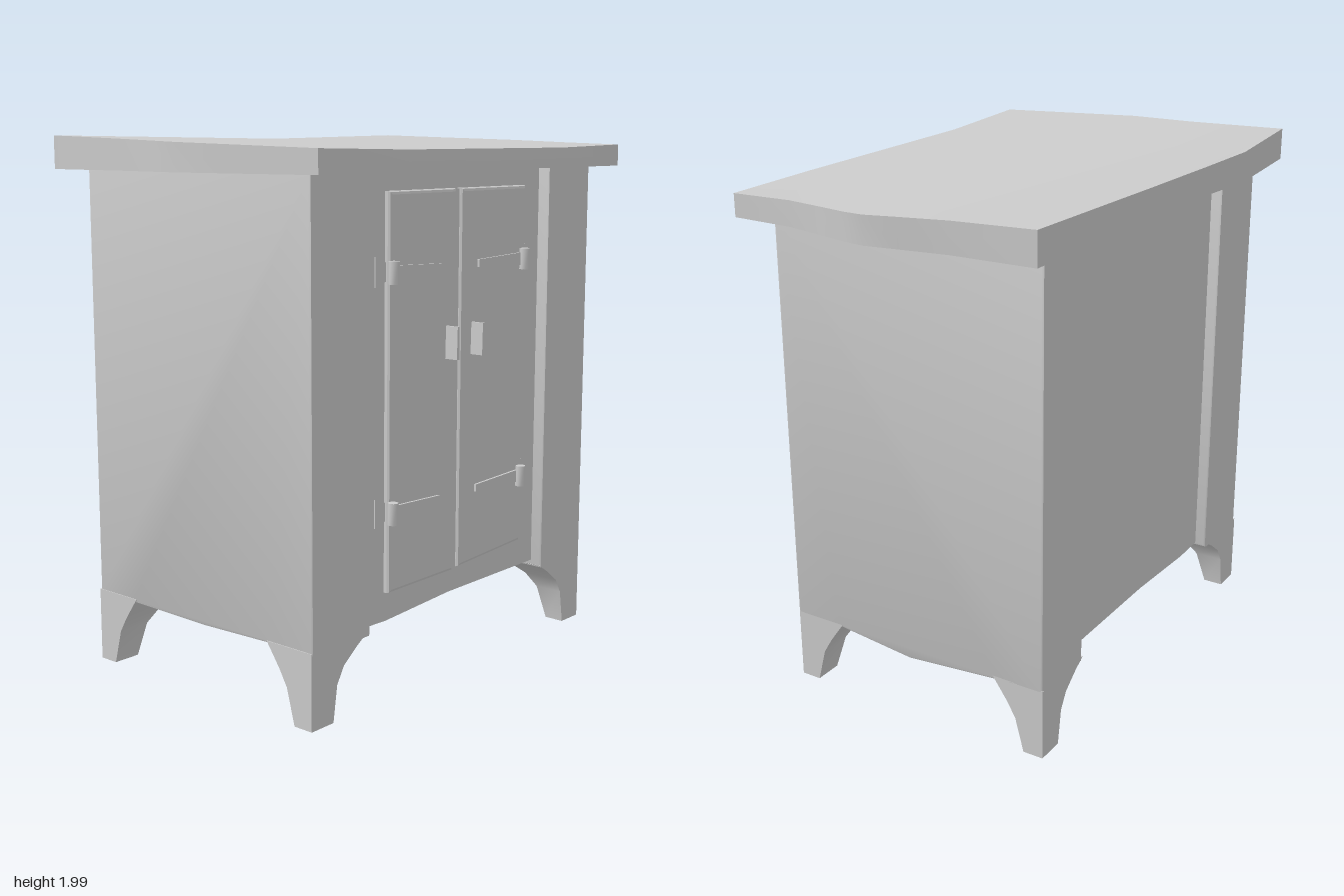
import * as THREE from 'three';
import { toCreasedNormals } from 'three/addons/utils/BufferGeometryUtils.js';

const shapeOf = (pts) => new THREE.Shape(pts.map(([x, y]) => new THREE.Vector2(x, y)));

// Flat piece drawn in (z, y), growing towards +x from x0
function sidePlate(pts, x0, depth, bevel = 0) {
  const geo = new THREE.ExtrudeGeometry(shapeOf(pts.map(([z, y]) => [-z, y])), {
    depth: depth - bevel, bevelEnabled: bevel > 0, bevelThickness: bevel,
    bevelSize: bevel, bevelOffset: -bevel, bevelSegments: 2,
  });
  return geo.rotateY(Math.PI / 2).translate(x0, 0, 0);
}

// Tapered corner leg: [height, width in x, width in z], outer corner fixed
const LEG = [[0.008, 0.08, 0.11], [0.14, 0.115, 0.13], [0.2, 0.15, 0.165], [0.25, 0.185, 0.23], [0.285, 0.21, 0.285]];
function legGeometry(xOut, zOut) {
  const geo = new THREE.BoxGeometry(1, 1, 1, 1, LEG.length - 1, 1);
  const p = geo.attributes.position;
  const sx = Math.sign(xOut), sz = Math.sign(zOut);
  for (let i = 0; i < p.count; i++) {
    const [y, wx, wz] = LEG[Math.round((p.getY(i) + 0.5) * (LEG.length - 1))];
    const x = p.getX(i) * sx > 0 ? xOut : xOut - sx * wx;
    const z = p.getZ(i) * sz > 0 ? zOut : zOut - sz * wz;
    p.setXYZ(i, x, y, z);
  }
  return toCreasedNormals(geo, 0.6);
}

export function createModel() {
  const model = new THREE.Group();
  const grey = new THREE.MeshStandardMaterial({ color: 0xcccccc });
  grey.name = 'plain grey';
  const add = (name, geo, parent = model) => {
    const mesh = new THREE.Mesh(geo, grey);
    mesh.name = name;
    parent.add(mesh);
    return mesh;
  };

  // Wavy overhanging top board, outline in (x, z)
  const outline = [
    [-0.62, 0.95], [-0.22, 0.96], [-0.05, 0.98], [0.07, 0.995], [0.3, 0.97], [0.66, 0.93],
    [0.63, 0.45], [0.635, 0], [0.635, -0.48], [0.6, -0.93], [0.35, -0.935], [0.2, -0.965],
    [0.08, -0.99], [0, -0.997], [-0.12, -0.975], [-0.3, -0.945], [-0.61, -0.93],
    [-0.62, -0.2], [-0.64, 0.2], [-0.665, 0.48],
  ];
  const board = new THREE.ExtrudeGeometry(shapeOf(outline.map(([x, z]) => [x, -z])), { depth: 1, bevelEnabled: false });
  board.rotateX(-Math.PI / 2);
  const bp = board.attributes.position;
  for (let i = 0; i < bp.count; i++) {
    const x = bp.getX(i), z = bp.getZ(i);
    const top = 1.972 - 0.03 * x - 0.008 * Math.cos(3.3 * z);
    bp.setY(i, bp.getY(i) > 0.5 ? top : 1.878);
  }
  add('topBoard', toCreasedNormals(board, 0.35));

  // Recessed body between the two end panels
  const body = [[0.6, 0.285], [0.42, 0.28], [0.05, 0.3], [-0.55, 0.302], [-0.55, 1.89], [0.6, 1.89]];
  add('body', sidePlate(body, -0.5, 1.01));

  // Thick end panels with shaped undersides, each on two legs
  const ends = [
    { name: 'front', z0: 0.56, z1: 0.857, dip: 0.265 },
    { name: 'back', z0: -0.782, z1: -0.5, dip: 0.238 },
  ];
  for (const { name, z0, z1, dip } of ends) {
    const end = new THREE.Group();
    end.name = name + 'End';
    const bevel = 0.01;
    const panel = new THREE.ExtrudeGeometry(
      shapeOf([[-0.547, 0.272], [-0.35, 0.27], [0.03, dip], [0.36, 0.275], [0.56, 0.275], [0.56, 1.885], [-0.547, 1.885]]),
      { depth: z1 - z0 - 2 * bevel, bevelThickness: bevel, bevelSize: bevel, bevelOffset: -bevel, bevelSegments: 2 });
    add(name + 'Panel', toCreasedNormals(panel.translate(0, 0, z0 + bevel), 0.6), end);
    const zOut = z0 > 0 ? 0.86 : -0.782;
    add(name + 'LeftLeg', legGeometry(0.555, zOut), end);
    add(name + 'RightLeg', legGeometry(-0.547, zOut), end);
    model.add(end);
  }

  // Pair of doors with a strip between them
  add('doorA', sidePlate([[0.43, 0.388], [0.055, 0.39], [0.055, 1.812], [0.43, 1.812]], 0.505, 0.03, 0.012));
  add('doorB', sidePlate([[0.022, 0.395], [-0.38, 0.415], [-0.38, 1.812], [0.022, 1.812]], 0.505, 0.03, 0.012));
  add('doorStrip', sidePlate([[0.054, 0.395], [0.023, 0.395], [0.023, 1.81], [0.054, 1.81]], 0.505, 0.016));

  // Strap hinges, mirrored onto both doors at two heights
  for (const y of [1.535, 0.685]) {
    for (const [knuckle, dir] of [[0.43, -1], [-0.352, 1]]) {
      const hinge = new THREE.Group();
      hinge.name = 'hinge';
      const at = (d) => knuckle + dir * d;
      add('hingeStrap', sidePlate([[at(0), y - 0.024], [at(0.28), y - 0.014], [at(0.28), y + 0.014], [at(0), y + 0.024]], 0.53, 0.014), hinge);
      add('hingePlate', sidePlate([[at(-0.055), y - 0.05], [at(0.01), y - 0.03], [at(0.01), y + 0.03], [at(-0.055), y + 0.055]], 0.505, 0.01), hinge);
      const barrel = new THREE.CylinderGeometry(0.02, 0.02, 0.08, 8);
      add('hingeBarrel', toCreasedNormals(barrel.translate(0.552, y, knuckle), 0.9), hinge);
      model.add(hinge);
    }
  }

  // Slim wedge handles
  for (const z of [0.108, -0.045]) {
    add('handle', sidePlate([[z - 0.008, 1.2], [z + 0.008, 1.2], [z + 0.005, 1.32], [z - 0.005, 1.32]], 0.53, 0.058));
  }
  return model;
}
